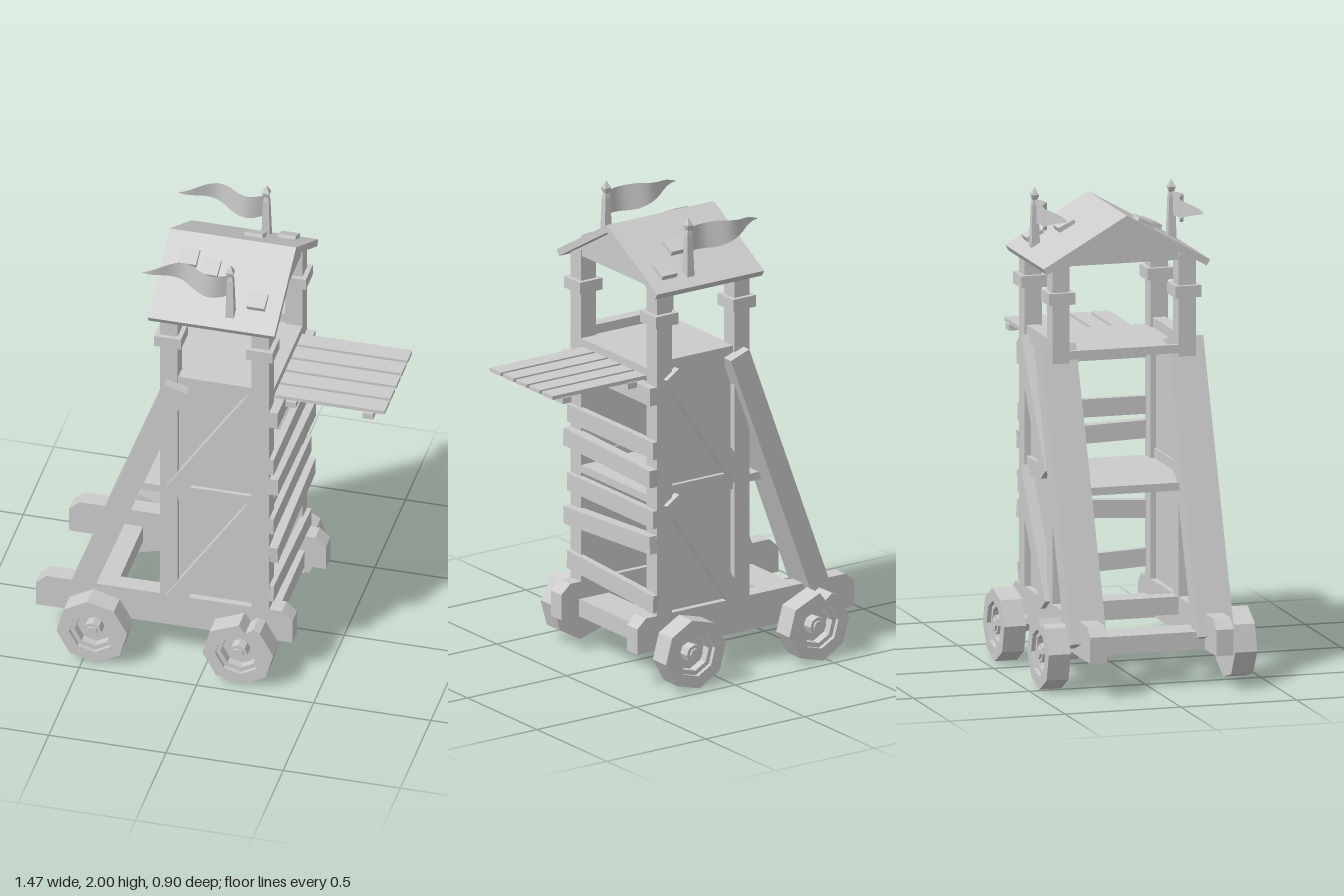
import * as THREE from 'three';

const mat = new THREE.MeshStandardMaterial({ color: 0xcccccc, flatShading: true });
const sheetMat = new THREE.MeshStandardMaterial({ color: 0xcccccc, side: THREE.DoubleSide });

export function createModel() {
  const model = new THREE.Group();

  const add = (name, geo, material = mat) => {
    const mesh = new THREE.Mesh(geo, material);
    mesh.name = name;
    model.add(mesh);
    return mesh;
  };
  // Box given by its limits on each axis
  const box = (name, x0, x1, y0, y1, z0, z1) => {
    const m = add(name, new THREE.BoxGeometry(x1 - x0, y1 - y0, z1 - z0));
    m.position.set((x0 + x1) / 2, (y0 + y1) / 2, (z0 + z1) / 2);
    return m;
  };
  // Beam in the xy plane running between two points
  const beam = (name, ax, ay, bx, by, width, z, depth) => {
    const m = add(name, new THREE.BoxGeometry(Math.hypot(bx - ax, by - ay), width, depth));
    m.position.set((ax + bx) / 2, (ay + by) / 2, z);
    m.rotation.z = Math.atan2(by - ay, bx - ax);
    return m;
  };
  const shapeOf = pts => new THREE.Shape(pts.map(p => new THREE.Vector2(...p)));
  const extrude = (shape, depth) =>
    new THREE.ExtrudeGeometry(shape, { depth, bevelEnabled: false });
  const ring = (r, n, turn = 0) => Array.from({ length: n }, (_, i) => {
    const a = turn + i * 2 * Math.PI / n;
    return [r * Math.cos(a), r * Math.sin(a)];
  });

  // Undercarriage rails with chamfered upper corners
  const rail = shapeOf([[-0.735, 0.15], [0.36, 0.15], [0.36, 0.26], [0.315, 0.3], [-0.69, 0.3], [-0.735, 0.26]]);
  for (const s of [1, -1]) {
    add('chassisRail', extrude(rail, 0.075)).position.z = s * 0.2725 - 0.0375;
  }
  box('rearCrossBeam', -0.575, -0.42, 0.15, 0.225, -0.24, 0.24);
  box('frontCrossBeam', 0.12, 0.27, 0.15, 0.225, -0.24, 0.24);
  box('towerSill', -0.205, -0.13, 0.225, 0.3, -0.24, 0.24);

  // Wheels: eight-sided rim with a recess, hub and axle end; some are chipped
  const wheel = (x, s, chipped) => {
    const g = new THREE.Group();
    g.name = 'wheel';
    const part = (name, geo, z) => {
      const m = new THREE.Mesh(geo, mat);
      m.name = name;
      m.position.z = z;
      g.add(m);
    };
    const outer = ring(0.152, 8, 0.12);
    if (chipped) outer.splice(2, 0, [0.064, 0.133], [0.031, 0.108], [0.004, 0.146]);
    if (chipped) outer.splice(5, 1);
    const rim = shapeOf(outer);
    rim.holes.push(new THREE.Path(ring(0.098, 8, 0.12).map(p => new THREE.Vector2(...p))));
    part('rim', extrude(rim, 0.095), -0.0475);
    part('innerRing', (() => {
      const r = shapeOf(ring(0.1, 8, 0.12));
      r.holes.push(new THREE.Path(ring(0.078, 8, 0.12).map(p => new THREE.Vector2(...p))));
      return extrude(r, 0.07);
    })(), -0.04);
    part('web', extrude(shapeOf(ring(0.1, 8, 0.12)), 0.04), -0.0475);
    part('hub', new THREE.CylinderGeometry(0.04, 0.04, 0.06, 8).rotateX(Math.PI / 2), 0.01);
    part('axleEnd', new THREE.CylinderGeometry(0.025, 0.03, 0.08, 8).rotateX(Math.PI / 2), 0.008);
    part('axleStub', new THREE.CylinderGeometry(0.035, 0.035, 0.1, 8).rotateX(Math.PI / 2), -0.07);
    g.position.set(x, 0.152, s * 0.4025);
    if (s < 0) g.rotation.y = Math.PI;
    model.add(g);
  };
  for (const s of [1, -1]) {
    wheel(-0.46, s, s < 0);
    wheel(0.163, s, s > 0);
  }

  for (const s of [1, -1]) {
    // Corner posts with collars
    for (const x of [-0.168, 0.223]) {
      const p = box('cornerPost', x - 0.0375, x + 0.0375, 0.29, 1.745, -0.0375, 0.0375);
      p.position.z = s * 0.2725;
      const c = box('postCollar', x - 0.057, x + 0.057, 1.56, 1.61, -0.057, 0.057);
      c.position.z = s * 0.2725;
    }
    // Side walls with horizontal rails and diagonal battens
    box('sideWall', -0.135, 0.19, 0.28, 1.39, -0.012, 0.012).position.z = s * 0.27;
    box('wallRail', -0.135, 0.19, 0.775, 0.85, -0.025, 0.025).position.z = s * 0.275;
    box('wallTopRail', -0.135, 0.19, 1.33, 1.4, -0.0275, 0.0275).position.z = s * 0.2725;
    for (const y of [0, 0.548]) {
      beam('wallBatten', -0.145, 0.285 + y, 0.196, 0.796 + y, 0.075, s * 0.308, 0.048);
    }
    // Long raking supports
    beam('rakingBrace', -0.57, 0.193, -0.13, 1.372, 0.098, s * 0.275, 0.152);
  }

  // Floors
  box('middleFloor', -0.34, 0.26, 0.775, 0.808, -0.26, 0.26);
  box('topFloor', -0.205, 0.26, 1.325, 1.36, -0.26, 0.26);

  // Front planks: height at left end, height at right end, outer face x
  for (const [yl, yr, x] of [
    [1.258, 1.258, 0.297], [1.02, 1.02, 0.28], [0.92, 0.9, 0.298],
    [0.72, 0.72, 0.28], [0.577, 0.612, 0.297], [0.382, 0.352, 0.28],
  ]) {
    const p = box('frontPlank', 0.25, x, -0.038, 0.038, -0.31, 0.31);
    p.position.y = (yl + yr) / 2;
    p.rotation.x = Math.atan2(yr - yl, 0.62);
  }

  // Boarding bridge
  for (let i = 0; i < 5; i++) {
    const z = -0.19 + i * 0.0935;
    box('bridgePlank', 0.255, 0.73, 1.31, 1.326, z - 0.039, z + 0.039);
  }
  for (const x of [0.333, 0.662]) box('bridgeBatten', x - 0.022, x + 0.022, 1.285, 1.311, -0.237, 0.237);

  // Gabled roof, profile run along x
  const roof = shapeOf([[0, 1.925], [-0.36, 1.72], [-0.345, 1.695], [0, 1.892], [0.345, 1.695], [0.36, 1.72]]);
  add('roof', extrude(roof, 0.54).rotateY(Math.PI / 2)).position.x = -0.245;
  const gable = shapeOf([[-0.31, 1.717], [0.31, 1.717], [0, 1.895]]);
  for (const x of [-0.2, 0.225]) {
    add('gable', extrude(gable, 0.03).rotateY(Math.PI / 2)).position.x = x;
  }

  // Loose shingles lying on the roof
  for (const [x, z] of [[0.193, -0.27], [0.077, -0.17], [-0.133, 0.107], [-0.035, 0.137], [0.193, 0.238]]) {
    const sh = add('shingle', new THREE.BoxGeometry(0.076, 0.024, 0.076));
    sh.position.set(x, 1.932 - Math.abs(z) * 0.569, z);
    sh.rotation.x = Math.sign(z) * 0.43;
  }

  // Flagpoles and waving pennants
  const poleProfile = [[0, 0], [0.026, 0], [0.018, 0.18], [0.013, 0.2], [0.022, 0.222], [0, 0.255]]
    .map(p => new THREE.Vector2(...p));
  for (const s of [1, -1]) {
    const pole = add('flagpole', new THREE.LatheGeometry(poleProfile, 4, Math.PI / 4));
    pole.position.set(0.092, 1.745, s * 0.295);

    const flag = new THREE.PlaneGeometry(1, 1, 14, 2);
    const p = flag.attributes.position;
    for (let i = 0; i < p.count; i++) {
      const t = 0.5 - p.getX(i);
      const half = t < 0.4 ? 0.05 + 0.02 * t : 0.058 * (1 - (t - 0.4) / 0.6);
      const mid = 1.899 + 0.018 * t - 0.008 * Math.sin(t * Math.PI * 2);
      p.setXYZ(i, 0.085 - 0.365 * t, mid + p.getY(i) * 2 * half,
        s * 0.295 + 0.028 * Math.sin(t * Math.PI * 2.6));
    }
    flag.computeVertexNormals();
    add('pennant', flag, sheetMat);
  }

  return model;
}
